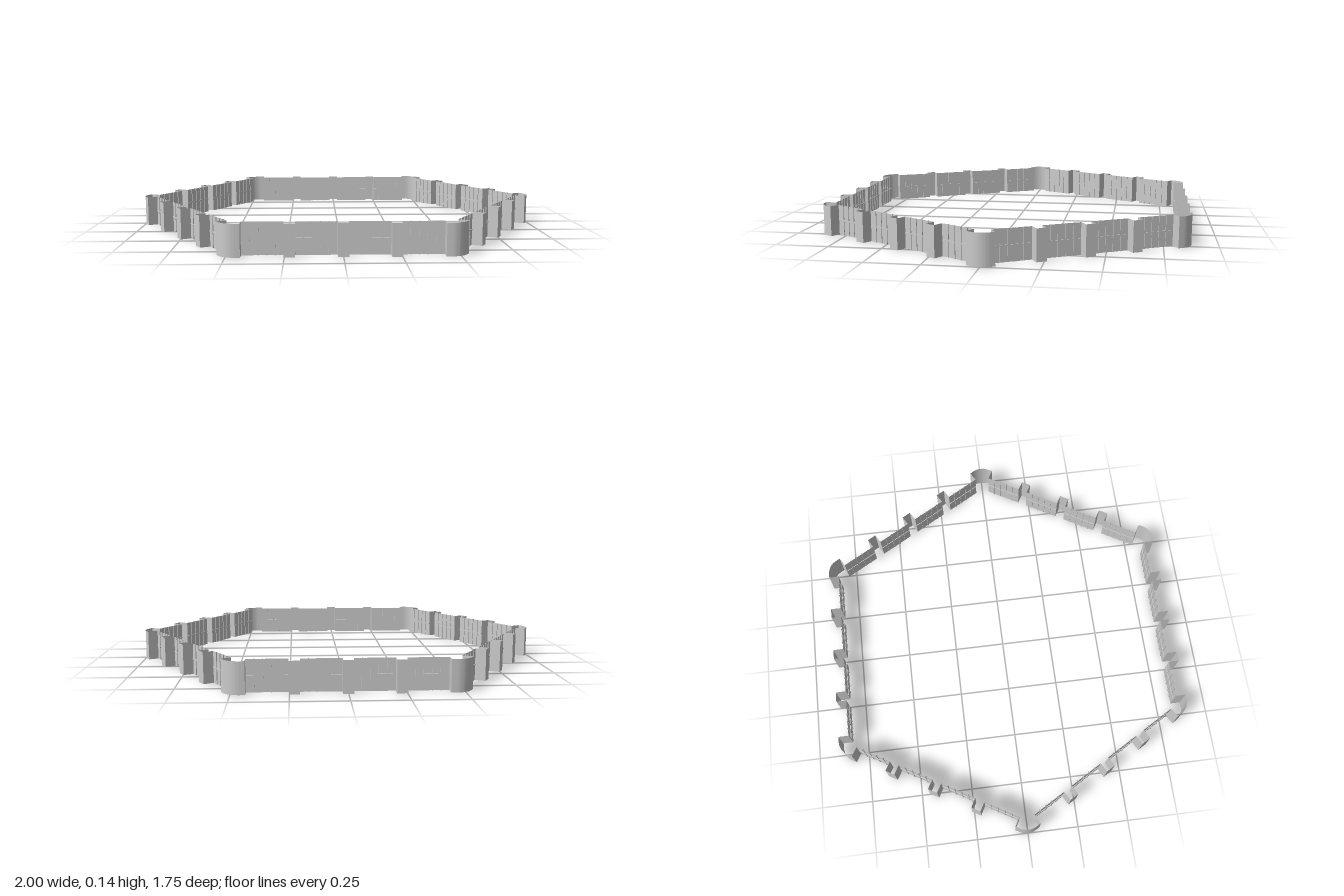
import * as THREE from 'three';
import { toCreasedNormals } from 'three/addons/utils/BufferGeometryUtils.js';

const HEIGHT = 0.145;
const WALL = 0.827;          // distance of the panels from the centre
const PIER = 0.05;           // how far the piers stand out
const PITCH = 0.229;         // spacing of the piers along a wall
const HALF_PIER = 0.024;
const END = 0.436;           // where the panels meet the corner piers
const BAR = 0.007;

const material = new THREE.MeshStandardMaterial({ color: 0xcccccc, side: THREE.DoubleSide });

// Upright thin strip following [x, z] points from left to right
function strip(points) {
  const pos = [];
  for (let i = 0; i < points.length - 1; i++) {
    const [ax, az] = points[i], [bx, bz] = points[i + 1];
    pos.push(ax, 0, az, bx, 0, bz, bx, HEIGHT, bz, ax, 0, az, bx, HEIGHT, bz, ax, HEIGHT, az);
  }
  const geometry = new THREE.BufferGeometry();
  geometry.setAttribute('position', new THREE.Float32BufferAttribute(pos, 3));
  return toCreasedNormals(geometry, Math.PI / 5);
}

function add(parent, name, geometry) {
  const mesh = new THREE.Mesh(geometry, material);
  mesh.name = name;
  parent.add(mesh);
  return mesh;
}

// Flat panel with a middle rail split by four upright ribs
function addPanel(wall, x0, x1) {
  const panel = new THREE.Group();
  panel.name = 'panel';
  wall.add(panel);
  add(panel, 'panelSheet', strip([[x0, WALL], [x1, WALL]]));
  const cells = 5, step = (x1 - x0) / cells, rib = 0.004;
  for (let i = 0; i < cells; i++) {
    const x = x0 + (i + 0.5) * step;
    add(panel, 'middleRail', new THREE.BoxGeometry(step - rib, 0.005, BAR)).position.set(x, HEIGHT / 2, WALL);
    if (i === 0) continue;
    // open-ended rib on both faces of the sheet
    const l = x0 + i * step - rib / 2, r = l + rib;
    const n = WALL - BAR / 2, f = WALL + BAR / 2;
    add(panel, 'rib', strip([[l, n], [l, f], [r, f], [r, n], [l, n]]));
  }
}

// Rounded shell wrapping the corner at the right end of a wall
function cornerPoints() {
  const radius = 0.082, centre = 1 - radius;
  const cx = centre / 2, cz = centre * Math.sqrt(3) / 2;
  const out = WALL + PIER;
  const points = [[END, WALL], [END, out]];
  for (let i = 0; i <= 12; i++) {
    const a = (i / 12) * Math.PI / 3;
    points.push([cx + radius * Math.sin(a), cz + radius * Math.cos(a)]);
  }
  // same ends on the neighbouring wall
  const c = Math.cos(Math.PI / 3), s = Math.sin(Math.PI / 3);
  for (const z of [out, WALL]) points.push([-END * c + z * s, END * s + z * c]);
  return points;
}

export function createModel() {
  const model = new THREE.Group();
  model.name = 'hexagonalWall';

  for (let side = 0; side < 6; side++) {
    const wall = new THREE.Group();
    wall.name = 'wall';
    wall.rotation.y = side * Math.PI / 3;
    model.add(wall);

    // four panels between the piers
    const centres = [-PITCH, 0, PITCH];
    const starts = [-END, ...centres.map((x) => x + HALF_PIER)];
    const ends = [...centres.map((x) => x - HALF_PIER), END];
    starts.forEach((x, i) => addPanel(wall, x, ends[i]));

    // piers are channels open towards the inside
    for (const x of centres) {
      const l = x - HALF_PIER, r = x + HALF_PIER, out = WALL + PIER;
      add(wall, 'pier', strip([[l, WALL], [l, out], [r, out], [r, WALL]]));
    }

    add(wall, 'cornerPier', strip(cornerPoints()));
  }
  return model;
}
